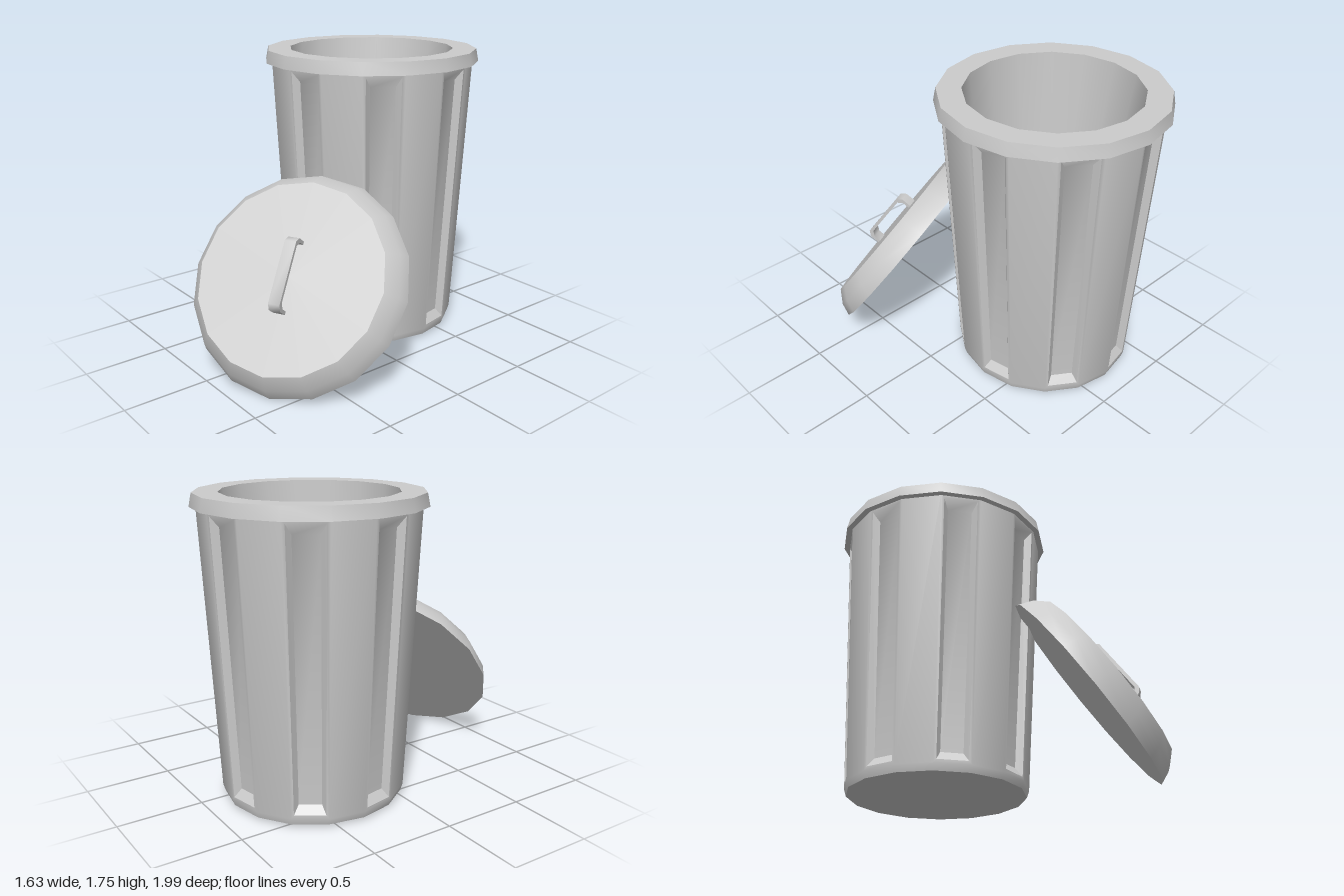
import * as THREE from 'three';
import { toCreasedNormals } from 'three/addons/utils/BufferGeometryUtils.js';

const SIDES = 16;
const STEP = (Math.PI * 2) / SIDES;

function part(name, geometry, crease = 0.6) {
  const material = new THREE.MeshStandardMaterial({ color: 0xcccccc });
  const mesh = new THREE.Mesh(toCreasedNormals(geometry, crease), material);
  mesh.name = name;
  return mesh;
}

// Sixteen-sided turned shape; the profile runs from the underside, round the outside, to the top.
function turned(profile) {
  return new THREE.LatheGeometry(profile.map(([r, y]) => new THREE.Vector2(r, y)), SIDES);
}

// Tapered wall with a bevelled, recessed panel on every second side.
function wallGeometry() {
  const foot = { y: 0.02, r: 0.522 }, base = { y: 0.06, r: 0.535 }, top = { y: 1.7, r: 0.62 };
  const radiusAt = (y) => base.r + (top.r - base.r) * (y - base.y) / (top.y - base.y);
  const positions = [];
  const quad = (a, b, c, d) => [a, b, c, a, c, d].forEach((p) => positions.push(p.x, p.y, p.z));
  const corner = (i, y, r = radiusAt(y)) => new THREE.Vector3(r * Math.sin(i * STEP), y, r * Math.cos(i * STEP));

  for (let i = 0; i < SIDES; i++) {
    // Point on side i: t runs across the side, depth goes inwards
    const mid = (i + 0.5) * STEP;
    const point = (t, y, depth) => corner(i, y).lerp(corner(i + 1, y), t)
      .add(new THREE.Vector3(-Math.sin(mid) * depth, 0, -Math.cos(mid) * depth));
    const loop = (inset, y0, y1, depth) => [
      point(inset, y0, depth), point(1 - inset, y0, depth), point(1 - inset, y1, depth), point(inset, y1, depth)];

    quad(corner(i, foot.y, foot.r), corner(i + 1, foot.y, foot.r), corner(i + 1, base.y), corner(i, base.y));
    const loops = [loop(0, base.y, top.y, 0)];
    if (i % 2 === 0) loops.push(loop(0.08, 0.08, 1.67, 0), loop(0.2, 0.13, 1.61, 0.037));
    for (let k = 0; k + 1 < loops.length; k++) {
      for (let j = 0; j < 4; j++) {
        const n = (j + 1) % 4;
        quad(loops[k][j], loops[k][n], loops[k + 1][n], loops[k + 1][j]);
      }
    }
    quad(...loops[loops.length - 1]);
    // Underside
    const centre = new THREE.Vector3(0, foot.y, 0);
    quad(centre, corner(i + 1, foot.y, foot.r), corner(i, foot.y, foot.r), centre);
  }
  const geometry = new THREE.BufferGeometry();
  geometry.setAttribute('position', new THREE.Float32BufferAttribute(positions, 3));
  return geometry;
}

// Rim and hollow inside; the floor of the hollow sits a little forward.
function rimGeometry() {
  const geometry = turned([[0.6, 1.685], [0.655, 1.685], [0.64, 1.76], [0.5, 1.76], [0.362, 0.1], [0, 0.1]]);
  const p = geometry.attributes.position;
  for (let i = 0; i < p.count; i++) {
    if (p.getY(i) < 1) p.setXYZ(i, p.getX(i) + 0.012, p.getY(i), p.getZ(i) + 0.103);
  }
  return geometry;
}

// Flat strap bent into a shallow bracket with chamfered corners.
function handleGeometry() {
  const half = 0.21, height = 0.095, thick = 0.02, cut = 0.03, width = 0.07;
  const outer = [[-half, -0.01], [-half, height - cut], [-half + cut, height],
    [half - cut, height], [half, height - cut], [half, -0.01]];
  const inner = outer.map(([x, y]) => [x * (half - thick) / half, y > 0 ? y - thick : y]).reverse();
  const shape = new THREE.Shape([...outer, ...inner].map(([x, y]) => new THREE.Vector2(x, y)));
  const geometry = new THREE.ExtrudeGeometry(shape, { depth: width, bevelEnabled: false });
  geometry.translate(0, 0, -width / 2);
  geometry.rotateY(Math.PI / 2);
  return geometry;
}

export function createModel() {
  const model = new THREE.Group();
  model.name = 'binWithLid';

  const bin = new THREE.Group();
  bin.name = 'bin';
  bin.position.set(-0.16, 0, -0.345);
  bin.add(part('panelledWall', wallGeometry()), part('rimAndInside', rimGeometry()));

  // Lid leaning on the front of the bin
  const lid = new THREE.Group();
  lid.name = 'lid';
  const normal = new THREE.Vector3(0.375, 0.585, 0.72).normalize();
  const downhill = new THREE.Vector3(0, -1, 0).addScaledVector(normal, normal.y).normalize();
  const across = new THREE.Vector3().crossVectors(normal, downhill);
  lid.quaternion.setFromRotationMatrix(new THREE.Matrix4().makeBasis(across, normal, downhill));
  lid.position.set(0.207, 0.537, 0.495);
  const lidTop = 0.145;
  const cover = part('lidCover', turned([[0, 0], [0.655, 0], [0.625, 0.075], [0.56, lidTop], [0, lidTop]]));
  const handle = part('lidHandle', handleGeometry(), 0.9);
  handle.position.y = lidTop;
  lid.add(cover, handle);

  model.add(bin, lid);
  return model;
}
